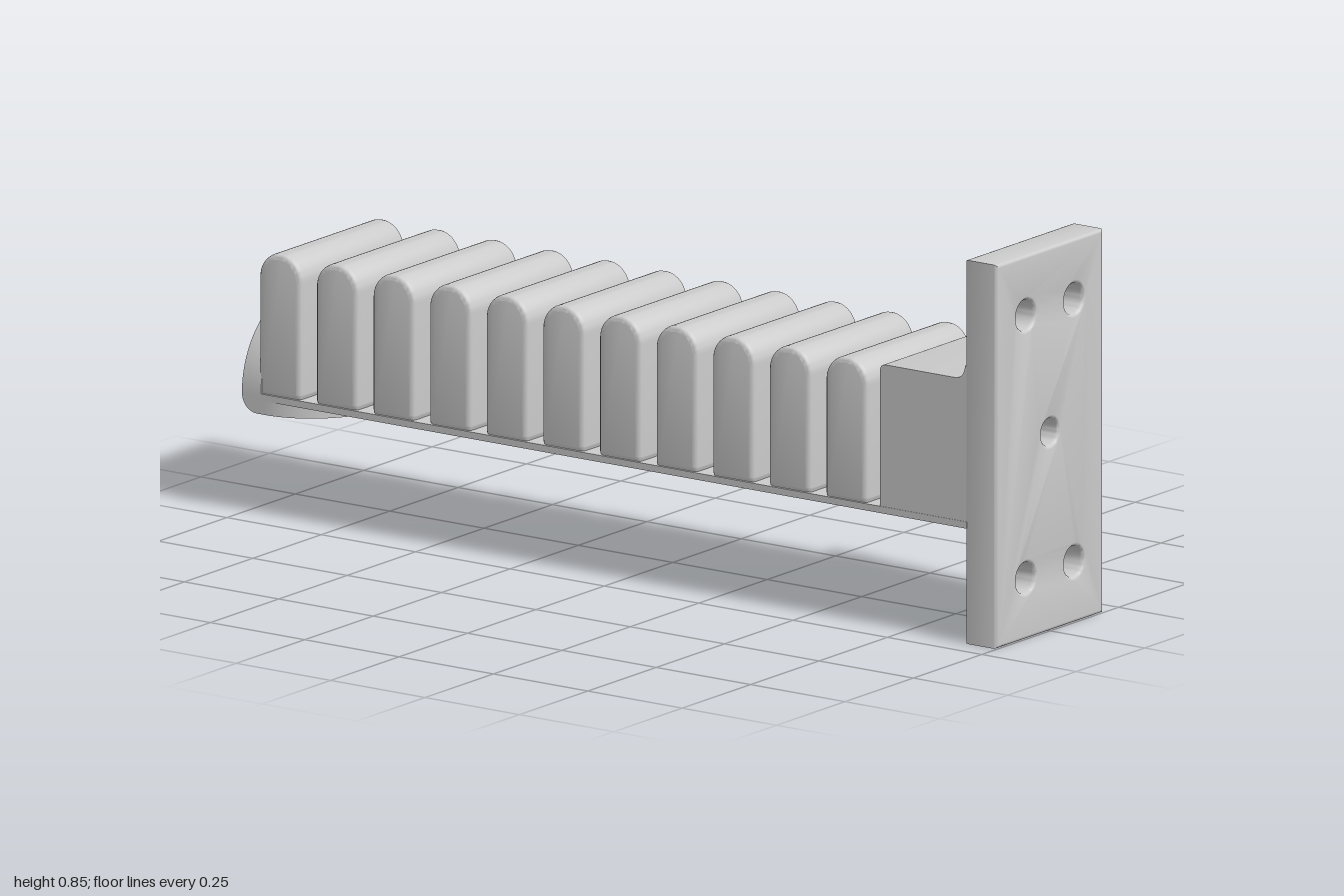
import * as THREE from 'three';
import { toCreasedNormals } from 'three/addons/utils/BufferGeometryUtils.js';

const material = new THREE.MeshStandardMaterial({ color: 0xcccccc });

function addMesh(parent, name, geometry) {
  const mesh = new THREE.Mesh(toCreasedNormals(geometry, 0.6), material);
  mesh.name = name;
  parent.add(mesh);
  return mesh;
}

// Extrudes a side profile drawn as (z, y) across the width, centred on x = 0
function acrossWidth(shape, width, bevel) {
  const depth = width - 2 * bevel;
  const geometry = new THREE.ExtrudeGeometry(shape, {
    depth, curveSegments: 12, bevelEnabled: bevel > 0, bevelSize: bevel,
    bevelThickness: bevel, bevelOffset: -bevel, bevelSegments: 3,
  });
  return geometry.translate(0, 0, -depth / 2).rotateY(-Math.PI / 2);
}

// Mounting plate with four screw holes and a central hole closed by the block
function plateGeometry() {
  const shape = new THREE.Shape();
  shape.moveTo(-0.195, 0).lineTo(0.195, 0).lineTo(0.195, 0.85).lineTo(-0.195, 0.85).closePath();
  const holes = [[0, 0.44, 0.03]];
  for (const x of [-0.088, 0.088]) for (const y of [0.135, 0.717]) holes.push([x, y, 0.034]);
  for (const [x, y, r] of holes) {
    shape.holes.push(new THREE.Path().absarc(x, y, r, 0, Math.PI * 2, true));
  }
  const bevel = 0.008;
  return new THREE.ExtrudeGeometry(shape, {
    depth: 0.085 - 2 * bevel, curveSegments: 16, bevelSize: bevel,
    bevelThickness: bevel, bevelOffset: -bevel, bevelSegments: 3,
  }).translate(0, 0, 0.915 + bevel);
}

// Root block, blended into the plate by a fillet
function blockGeometry() {
  const s = new THREE.Shape();
  s.moveTo(0.69, 0.262).lineTo(0.925, 0.262).lineTo(0.925, 0.615).lineTo(0.915, 0.615);
  s.quadraticCurveTo(0.913, 0.585, 0.885, 0.585);
  s.lineTo(0.705, 0.585).quadraticCurveTo(0.69, 0.585, 0.69, 0.57).closePath();
  return acrossWidth(s, 0.388, 0);
}

// Tooth with a fully rounded top and small rounded bottom corners
function toothGeometry() {
  const r = 0.056, c = 0.015, y0 = 0.265, y1 = 0.585 - r;
  const s = new THREE.Shape();
  s.moveTo(-r + c, y0).lineTo(r - c, y0).quadraticCurveTo(r, y0, r, y0 + c).lineTo(r, y1);
  s.absarc(0, y1, r, 0, Math.PI, false);
  s.lineTo(-r, y0 + c).quadraticCurveTo(-r, y0, -r + c, y0);
  return acrossWidth(s, 0.384, 0.012);
}

// Waisted link that joins neighbouring teeth
function linkGeometry() {
  const s = new THREE.Shape();
  s.moveTo(-0.1, -0.025).quadraticCurveTo(0, -0.008, 0.1, -0.025);
  s.lineTo(0.1, -0.025).quadraticCurveTo(0.012, 0, 0.1, 0.025);
  s.lineTo(-0.1, 0.025).quadraticCurveTo(-0.012, 0, -0.1, -0.025);
  return new THREE.ExtrudeGeometry(s, { depth: 0.115, bevelEnabled: false, curveSegments: 8 })
    .rotateX(-Math.PI / 2).translate(0, 0.263, 0);
}

// Folded tip: L-shaped sections whose two legs follow a half ellipse
function tipGeometry() {
  const steps = 40, positions = [], index = [];
  let count = 0;
  for (let i = 0; i <= steps; i++) {
    const angle = Math.PI * i / steps;
    const x = -0.195 * Math.cos(angle), u = Math.sin(angle);
    const zEnd = -0.94 + 0.18 * u, yTop = 0.268 + 0.192 * u;
    const loop = [[zEnd, 0.225]];
    for (let k = 0; k <= 6; k++) {
      const a = Math.PI / 2 * k / 6;
      loop.push([-0.96 - 0.04 * Math.sin(a), 0.265 - 0.04 * Math.cos(a)]);
    }
    loop.push([-1, yTop - 0.002], [-0.994, yTop], [-0.95, yTop], [-0.95, 0.256], [zEnd, 0.256]);
    count = loop.length;
    for (const [z, y] of loop) positions.push(x, y, z);
  }
  for (let i = 0; i < steps; i++) {
    for (let k = 0; k < count; k++) {
      const a = i * count + k, b = i * count + (k + 1) % count;
      index.push(a, b, a + count, b, b + count, a + count);
    }
  }
  // End faces, fanned from the inner corner
  const hub = count - 2, last = steps * count;
  for (let k = 0; k < count; k++) {
    const n = (k + 1) % count;
    if (k === hub || n === hub) continue;
    index.push(hub, n, k, last + hub, last + k, last + n);
  }
  const geometry = new THREE.BufferGeometry();
  geometry.setAttribute('position', new THREE.Float32BufferAttribute(positions, 3));
  geometry.setIndex(index);
  geometry.computeVertexNormals();
  return geometry;
}

export function createModel() {
  const model = new THREE.Group();
  model.name = 'ribbedFinger';

  addMesh(model, 'mountingPlate', plateGeometry());
  addMesh(model, 'rootBlock', blockGeometry());

  // Thin flexible strip beneath the teeth
  addMesh(model, 'baseStrip', new THREE.BoxGeometry(0.39, 0.015, 1.87).translate(0, 0.2625, -0.015));

  // Eleven teeth, each with a link on its front side
  const tooth = toothGeometry(), link = linkGeometry();
  for (let i = 0; i < 11; i++) {
    const z = 0.597 - 0.15 * i;
    addMesh(model, 'tooth', tooth).position.z = z;
    addMesh(model, 'link', link).position.z = z + 0.075;
  }

  const tip = addMesh(model, 'foldedTip', tipGeometry());
  tip.material = material.clone();
  tip.material.side = THREE.DoubleSide;
  return model;
}
